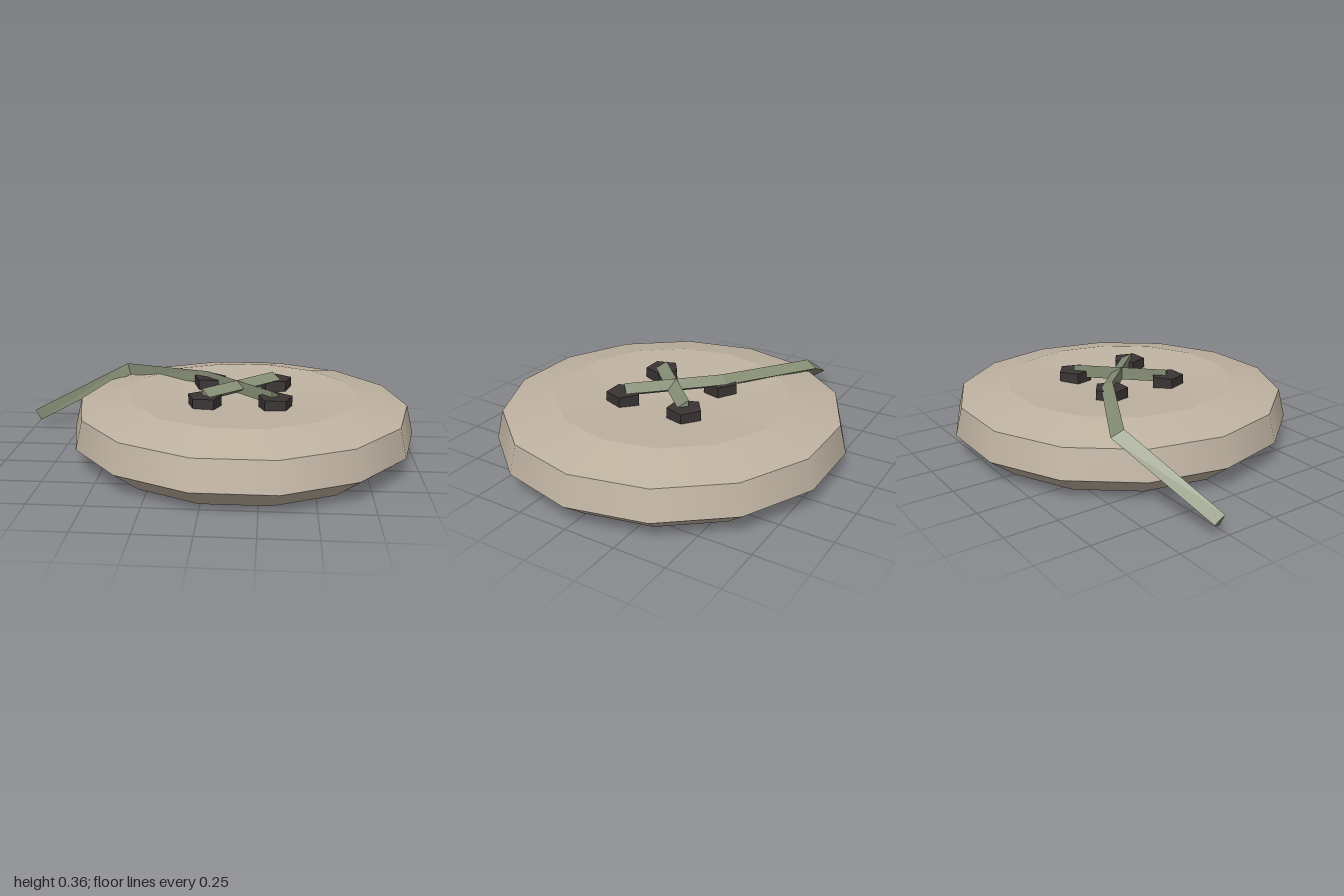
import * as THREE from 'three';

const shell = new THREE.MeshStandardMaterial({ color: 0xbfb2a1 });
const hole = new THREE.MeshStandardMaterial({ color: 0x3a3333 });
const thread = new THREE.MeshStandardMaterial({ color: 0x858d74 });
shell.name = 'warm grey shell';
hole.name = 'dark hole';
thread.name = 'sage thread';

const CX = 0.15; // the disc sits off centre because of the loose thread end

// three-sided cord swept along a polyline, with mitred corners
function cord(path, r) {
  const pts = path.map((p) => new THREE.Vector3(...p));
  const dirs = pts.slice(1).map((p, i) => p.clone().sub(pts[i]).normalize());
  const rings = pts.map((p, i) => {
    const before = dirs[Math.max(i - 1, 0)];
    const after = dirs[Math.min(i, dirs.length - 1)];
    const t = before.clone().add(after).normalize();
    const right = t.clone().cross(new THREE.Vector3(0, 1, 0)).normalize();
    const up = right.clone().cross(t);
    const mitre = 1 / t.dot(after);
    return [0, 1, 2].map((k) => {
      const a = (k * 2 * Math.PI) / 3;
      return p.clone()
        .addScaledVector(right, Math.cos(a) * r * mitre)
        .addScaledVector(up, Math.sin(a) * r);
    });
  });
  const tris = [...rings[0]];
  for (let i = 0; i < rings.length - 1; i++) {
    for (let j = 0; j < 3; j++) {
      const k = (j + 1) % 3;
      const [a, b, c, d] = [rings[i][j], rings[i][k], rings[i + 1][k], rings[i + 1][j]];
      tris.push(a, d, c, a, c, b);
    }
  }
  const end = rings[rings.length - 1];
  tris.push(end[0], end[2], end[1]);
  const geo = new THREE.BufferGeometry().setFromPoints(tris);
  geo.computeVertexNormals();
  return geo;
}

export function createModel() {
  const model = new THREE.Group();
  model.name = 'button';
  const add = (name, geo, mat, x = 0, y = 0, z = 0) => {
    const mesh = new THREE.Mesh(geo, mat);
    mesh.name = name;
    mesh.position.set(x, y, z);
    model.add(mesh);
    return mesh;
  };

  // disc: one lathed band per surface, so the rings between them stay sharp
  const profile = [[0, 0], [0.71, 0], [0.85, 0.11], [0.815, 0.25], [0.57, 0.3], [0, 0.262]];
  const names = ['underside', 'lowerBevel', 'rim', 'topBevel', 'dish'];
  names.forEach((name, i) => {
    const band = [profile[i], profile[i + 1]].map((p) => new THREE.Vector2(...p));
    add(name, new THREE.LatheGeometry(band, 14, Math.PI / 2), shell, CX);
  });

  // four five-sided hole plugs, each pointing to the back
  const plug = new THREE.CylinderGeometry(0.085, 0.085, 0.07, 5).rotateY(Math.PI).toNonIndexed();
  plug.computeVertexNormals();
  for (const sx of [-1, 1]) {
    for (const sz of [-1, 1]) add('hole', plug, hole, 0.145 + sx * 0.17, 0.295, sz * 0.17);
  }

  // crossed stitches, one with a loose end hanging over the rim
  add('stitch', cord([[-0.025, 0.328, 0.17], [0.313, 0.328, -0.168]], 0.037), thread);
  add('looseThread', cord([
    [0.312, 0.328, 0.167], [-0.025, 0.328, -0.18],
    [-0.49, 0.298, -0.435], [-0.985, 0.065, -0.29],
  ], 0.037), thread);

  return model;
}
